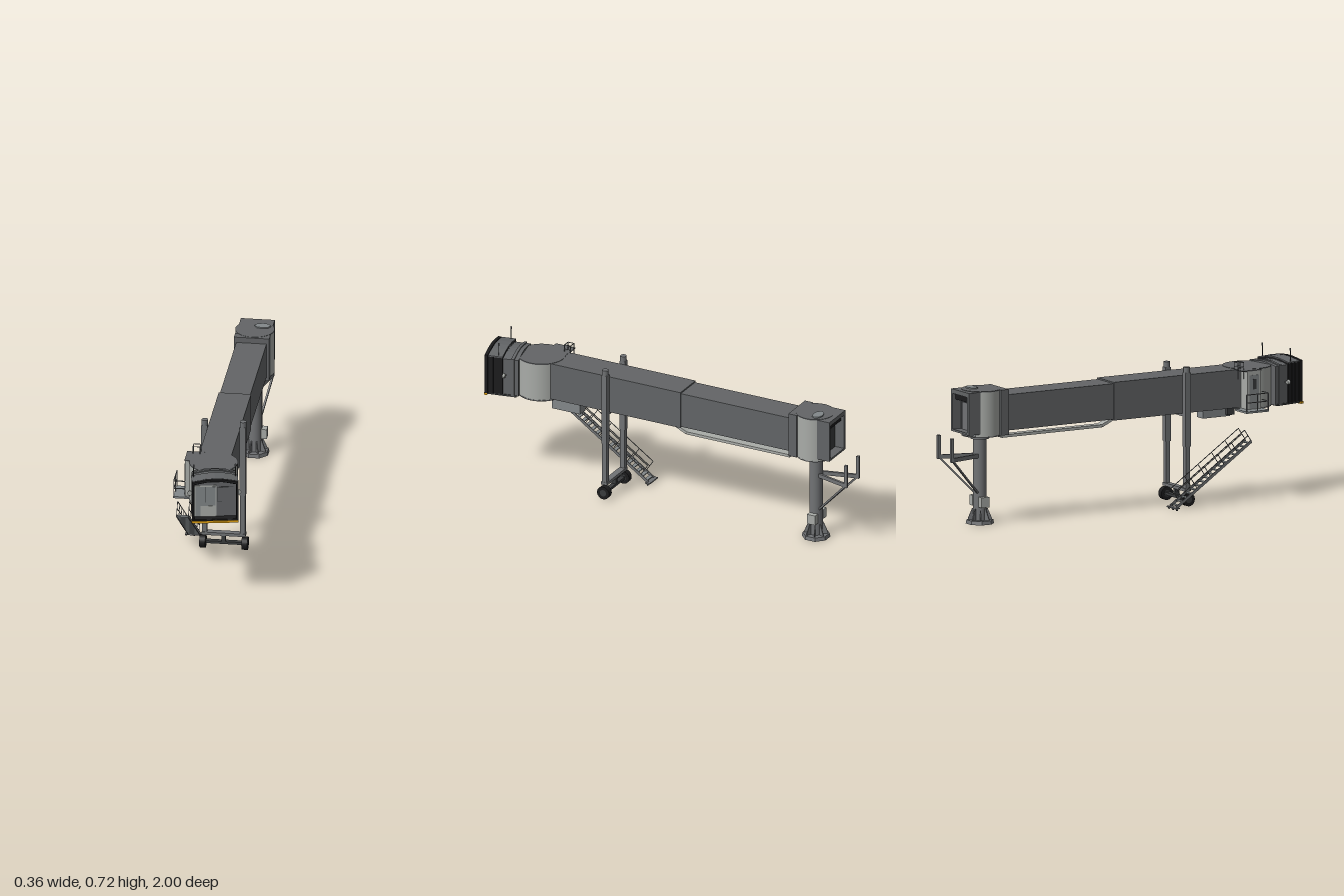
import * as THREE from 'three';

const paint = (name, color, side = THREE.FrontSide) => {
  const m = new THREE.MeshStandardMaterial({ color, side });
  m.name = name;
  return m;
};
const M = {
  tunnel: paint('tunnelGrey', 0x636567),
  steel: paint('steelGrey', 0x717375),
  light: paint('lightPanel', 0xa9aca8, THREE.DoubleSide),
  glass: paint('glassGrey', 0x83888a),
  dark: paint('darkGrey', 0x3a3c3d),
  black: paint('bellowsBlack', 0x1c1c1d),
  yellow: paint('safetyYellow', 0xe3a212),
};
const V = (x, y, z) => new THREE.Vector3(x, y, z);
const CX = 0.0245; // centre line of the bridge

function add(parent, name, geo, mat, x = 0, y = 0, z = 0) {
  const mesh = new THREE.Mesh(geo, mat);
  mesh.name = name;
  mesh.position.set(x, y, z);
  parent.add(mesh);
  return mesh;
}
// Box given by its limits on each axis
function box(parent, name, mat, x0, x1, y0, y1, z0, z1) {
  return add(parent, name, new THREE.BoxGeometry(x1 - x0, y1 - y0, z1 - z0), mat,
    (x0 + x1) / 2, (y0 + y1) / 2, (z0 + z1) / 2);
}
// Square bar between two points
function bar(parent, name, mat, a, b, w = 0.004, h = w) {
  const mesh = new THREE.Mesh(new THREE.BoxGeometry(w, h, a.distanceTo(b)), mat);
  mesh.name = name;
  mesh.position.copy(a).add(b).multiplyScalar(0.5);
  mesh.lookAt(b);
  parent.add(mesh);
}
function cyl(parent, name, mat, r0, r1, y0, y1, x, z, sides = 32) {
  return add(parent, name, new THREE.CylinderGeometry(r1, r0, y1 - y0, sides), mat, x, (y0 + y1) / 2, z);
}
const outline = (points) => points.map(([x, y]) => new THREE.Vector2(x, y));
const rect = (x0, x1, y0, y1) => outline([[x0, y0], [x1, y0], [x1, y1], [x0, y1]]);
// House-shaped outline used by the cab and its bellows
const gable = (w, y0, eave, apex) => outline([[-w, y0], [w, y0], [w, eave], [w * 0.4, apex - 0.003],
  [0, apex], [-w * 0.4, apex - 0.003], [-w, eave]]);
function extrude(points, hole, depth) {
  const s = new THREE.Shape(points);
  if (hole) s.holes.push(new THREE.Path(hole));
  return new THREE.ExtrudeGeometry(s, { depth, bevelEnabled: false });
}

function buildTunnel(g) {
  box(g, 'innerTunnel', M.tunnel, -0.05, 0.099, 0.46, 0.637, -0.7, -0.08);
  box(g, 'outerTunnel', M.tunnel, -0.055, 0.104, 0.455, 0.644, -0.085, 0.66);
  // cable tray stepping down below the inner tunnel
  const path = [[0.44, 0.445], [-0.04, 0.445], [-0.1, 0.417], [-0.67, 0.417], [-0.69, 0.45]];
  for (let i = 0; i < path.length - 1; i++) {
    const [a, b] = [path[i], path[i + 1]];
    bar(g, 'cableTray', M.light, V(0.05, a[1], a[0]), V(0.05, b[1], b[0]), 0.04, 0.014);
  }
  box(g, 'equipmentBox', M.glass, 0.035, 0.09, 0.4, 0.456, 0.475, 0.63);
  box(g, 'controlBox', M.dark, 0.008, 0.03, 0.41, 0.456, 0.6, 0.64);
  // small guard cage on the roof
  for (const x of [-0.085, -0.05]) {
    for (const z of [0.602, 0.635]) bar(g, 'cagePost', M.steel, V(x, 0.6, z), V(x, 0.683, z), 0.003);
    for (const y of [0.66, 0.682]) bar(g, 'cageRail', M.steel, V(x, y, 0.602), V(x, y, 0.635), 0.003);
  }
  for (const z of [0.602, 0.635]) bar(g, 'cageRail', M.steel, V(-0.085, 0.682, z), V(-0.05, 0.682, z), 0.003);
}

function buildRearRotunda(g) {
  const z = -0.79, cx = 0.028;
  // curved side walls, open towards tunnel and terminal
  for (const start of [0.3, 2 * Math.PI - 2.4]) {
    add(g, 'rearRotundaWall', new THREE.CylinderGeometry(0.095, 0.095, 0.224, 20, 1, true, start, 2.1), M.light, cx, 0.552, z);
  }
  cyl(g, 'rearRotundaRoof', M.tunnel, 0.096, 0.096, 0.661, 0.666, cx, z);
  cyl(g, 'rearRotundaFloor', M.steel, 0.096, 0.096, 0.437, 0.442, cx, z);
  box(g, 'rearPortal', M.tunnel, -0.061, 0.112, 0.44, 0.665, -0.73, -0.685);
  // open doorway frame facing the terminal
  add(g, 'terminalFrame', extrude(rect(-0.057, 0.11, 0.455, 0.664), rect(-0.042, 0.095, 0.465, 0.642), 0.067),
    M.tunnel, 0, 0, -0.91);
  box(g, 'terminalInnerWall', M.dark, -0.045, 0.098, 0.46, 0.645, -0.862, -0.855);
  box(g, 'terminalDoor', M.steel, 0.02, 0.075, 0.465, 0.6, -0.868, -0.861);
  box(g, 'terminalShutter', M.black, -0.042, 0.095, 0.612, 0.642, -0.895, -0.861);
  const hatch = cyl(g, 'roofHatch', M.glass, 0.04, 0.04, 0.665, 0.672, 0.062, -0.823, 8);
  hatch.scale.z = 0.65;

  // support column on an octagonal plate with gussets
  const cz = -0.795, colX = 0.03;
  cyl(g, 'column', M.steel, 0.033, 0.033, 0, 0.44, colX, cz);
  cyl(g, 'columnCollar', M.steel, 0.046, 0.046, 0.42, 0.44, colX, cz);
  const plate = new THREE.CylinderGeometry(0.066, 0.07, 0.018, 8).toNonIndexed();
  plate.computeVertexNormals();
  add(g, 'basePlate', plate, M.steel, colX, 0.009, cz).rotation.y = Math.PI / 8;
  const fin = extrude(outline([[0.03, 0], [0.06, 0], [0.058, 0.02], [0.038, 0.068], [0.03, 0.068]]), null, 0.005);
  for (let i = 0; i < 8; i++) add(g, 'footGusset', fin, M.steel, colX, 0.006, cz).rotation.y = (i + 0.5) * Math.PI / 4;
  for (const s of [-1, 1]) {
    const x = colX + s * 0.044;
    box(g, 'columnBox', M.light, x - 0.014, x + 0.014, 0.085, 0.135, -0.82, -0.775);
    // splayed rear arms with upright and brace
    const tip = V(cx + s * 0.062, 0.337, -0.99), root = V(cx + s * 0.018, 0.337, -0.82);
    bar(g, 'rearArm', M.steel, root, tip, 0.012, 0.02);
    bar(g, 'rearBrace', M.steel, V(cx + s * 0.018, 0.155, -0.82), V(tip.x, 0.33, -0.985), 0.009);
    box(g, 'rearUpright', M.steel, tip.x - 0.007, tip.x + 0.007, 0.327, 0.445, -1, -0.985);
  }
}

function buildDriveFrame(g) {
  const z = 0.32;
  for (const s of [-1, 1]) {
    const x = CX + s * 0.094;
    box(g, 'lowerLeg', M.steel, x - 0.0125, x + 0.0125, 0.072, 0.3, z - 0.012, z + 0.012);
    box(g, 'upperLeg', M.steel, x - 0.015, x + 0.015, 0.293, 0.658, z - 0.015, z + 0.015);
    cyl(g, 'legCap', M.steel, 0.016, 0.016, 0.655, 0.685, x + 0.001, z, 20);
    const wx = CX + 0.001 + s * 0.1035;
    const wheel = cyl(g, 'wheel', M.black, 0.033, 0.033, -0.0145, 0.0145, wx, z, 24);
    const hub = cyl(g, 'wheelHub', M.dark, 0.017, 0.017, -0.0155, 0.0155, wx, z, 16);
    for (const m of [wheel, hub]) { m.rotation.z = Math.PI / 2; m.position.y = 0.033; }
  }
  box(g, 'frameBeam', M.steel, CX - 0.107, CX + 0.108, 0.072, 0.087, z - 0.016, z + 0.016);
  box(g, 'liftBeam', M.steel, CX - 0.09, CX + 0.09, 0.44, 0.456, z - 0.012, z + 0.012);
  box(g, 'axle', M.dark, CX - 0.09, CX + 0.09, 0.027, 0.04, z - 0.012, z + 0.012);
  box(g, 'axlePivot', M.dark, CX - 0.009, CX + 0.009, 0.027, 0.073, z - 0.012, z + 0.012);
}

function buildStairs(g) {
  const foot = V(0, 0.015, 0.205), head = V(0, 0.305, 0.63), n = 17;
  const at = (x, t, lift = 0) => foot.clone().lerp(head, t).add(V(x, lift * 0.83, -lift * 0.56));
  for (const x of [-0.166, -0.108]) {
    bar(g, 'stairStringer', M.steel, at(x, 0), at(x, 1), 0.004, 0.014);
    for (const h of [0.035, 0.07]) bar(g, 'stairRail', M.steel, at(x, 0.1, h), at(x, 1, h), 0.003);
    for (let i = 0; i < 6; i++) bar(g, 'stairPost', M.steel, at(x, 0.1 + i * 0.18), at(x, 0.1 + i * 0.18, 0.07), 0.003);
  }
  for (let i = 0; i < n; i++) {
    const p = at(-0.137, (i + 0.5) / n);
    box(g, 'stairTread', M.glass, -0.166, -0.108, p.y - 0.002, p.y + 0.002, p.z - 0.01, p.z + 0.01);
  }
  box(g, 'stairFoot', M.steel, -0.18, -0.096, 0.009, 0.015, 0.19, 0.215);
  for (const x of [-0.175, -0.137, -0.1]) {
    const caster = cyl(g, 'stairCaster', M.dark, 0.005, 0.005, -0.003, 0.003, x, 0.202, 12);
    caster.rotation.z = Math.PI / 2;
    caster.position.y = 0.005;
  }
  // service landing beside the front rotunda
  box(g, 'landing', M.glass, -0.17, -0.06, 0.443, 0.452, 0.6, 0.728);
  for (const z of [0.603, 0.665, 0.725]) bar(g, 'landingPost', M.steel, V(-0.167, 0.45, z), V(-0.167, 0.535, z), 0.004);
  for (const y of [0.495, 0.535]) {
    bar(g, 'landingRail', M.steel, V(-0.167, y, 0.603), V(-0.167, y, 0.725), 0.004);
    bar(g, 'landingRail', M.steel, V(-0.167, y, 0.725), V(-0.112, y, 0.725), 0.004);
  }
  box(g, 'serviceVestibule', M.light, -0.114, -0.03, 0.445, 0.642, 0.638, 0.715);
  box(g, 'vestibuleRoof', M.tunnel, -0.116, -0.03, 0.64, 0.645, 0.61, 0.717);
  box(g, 'serviceDoor', M.glass, -0.116, -0.112, 0.455, 0.62, 0.65, 0.703);
  box(g, 'doorWindow', M.dark, -0.117, -0.113, 0.55, 0.6, 0.668, 0.688);
}

function buildCab(g) {
  cyl(g, 'frontRotunda', M.light, 0.118, 0.118, 0.45, 0.643, 0.028, 0.72, 40);
  cyl(g, 'frontRotundaRoof', M.tunnel, 0.119, 0.119, 0.641, 0.646, 0.028, 0.72, 40);
  cyl(g, 'frontRotundaFloor', M.steel, 0.119, 0.119, 0.446, 0.452, 0.028, 0.72, 40);

  const cab = new THREE.Group();
  cab.name = 'cab';
  cab.position.set(0.022, 0, 0.72);
  cab.rotation.y = 0.19;
  g.add(cab);
  add(cab, 'cabBody', extrude(gable(0.104, 0.448, 0.641, 0.656), null, 0.085), M.tunnel, 0, 0, 0.09);
  add(cab, 'cabRib', extrude(gable(0.108, 0.446, 0.646, 0.661), null, 0.015), M.tunnel, 0, 0, 0.11);
  // folded side bellows, grey roof over them and black front rim
  for (let i = 0; i < 7; i++) {
    const o = i % 2 ? 0.107 : 0.112;
    add(cab, 'bellowsFold', extrude(gable(o, 0.45, 0.649, 0.664), gable(0.102, 0.455, 0.64, 0.655), 0.0122),
      M.black, 0, 0, 0.168 + i * 0.012);
  }
  add(cab, 'cabRoof', extrude(gable(0.113, 0.647, 0.653, 0.668), null, 0.072), M.tunnel, 0, 0, 0.168);
  add(cab, 'frontRim', extrude(gable(0.113, 0.45, 0.654, 0.669), gable(0.104, 0.453, 0.644, 0.659), 0.016),
    M.black, 0, 0, 0.243);
  box(cab, 'cabFloor', M.dark, -0.108, 0.108, 0.444, 0.453, 0.1, 0.255);
  box(cab, 'bumper', M.yellow, -0.115, 0.112, 0.439, 0.45, 0.247, 0.263);
  // front wall with door and window
  add(cab, 'frontWall', extrude(gable(0.103, 0.45, 0.642, 0.657), null, 0.05), M.tunnel, 0, 0, 0.165);
  box(cab, 'doorFrame', M.light, -0.101, 0.008, 0.453, 0.62, 0.212, 0.217);
  box(cab, 'doorPane', M.glass, -0.095, 0.002, 0.453, 0.613, 0.213, 0.218);
  box(cab, 'doorKickPlate', M.light, -0.07, 0.002, 0.455, 0.512, 0.214, 0.219);
  box(cab, 'doorSplit', M.dark, -0.048, -0.0465, 0.53, 0.613, 0.214, 0.2195);
  box(cab, 'windowFrame', M.dark, 0.011, 0.092, 0.534, 0.611, 0.212, 0.217);
  box(cab, 'windowPane', M.tunnel, 0.0125, 0.0905, 0.5355, 0.6095, 0.213, 0.218);
  for (const s of [-1, 1]) {
    // lamp and beacon mast
    bar(cab, 'lampArm', M.steel, V(s * 0.1, 0.557, 0.15), V(s * 0.118, 0.557, 0.155), 0.004);
    const lamp = cyl(cab, 'lamp', M.light, 0.013, 0.009, -0.006, 0.006, s * 0.119, 0.158, 16);
    lamp.rotation.x = -Math.PI / 2;
    lamp.position.y = 0.557;
    cyl(cab, 'beaconMast', M.dark, 0.002, 0.002, 0.63, 0.71, s * 0.102, 0.19, 8);
    cyl(cab, 'beacon', M.steel, 0.004, 0.004, 0.707, 0.72, s * 0.102, 0.19, 10);
  }
}

export function createModel() {
  const model = new THREE.Group();
  model.name = 'boardingBridge';
  for (const [name, build] of [['tunnel', buildTunnel], ['rearRotunda', buildRearRotunda],
    ['driveFrame', buildDriveFrame], ['serviceStairs', buildStairs], ['frontCab', buildCab]]) {
    const part = new THREE.Group();
    part.name = name;
    build(part);
    model.add(part);
  }
  return model;
}
